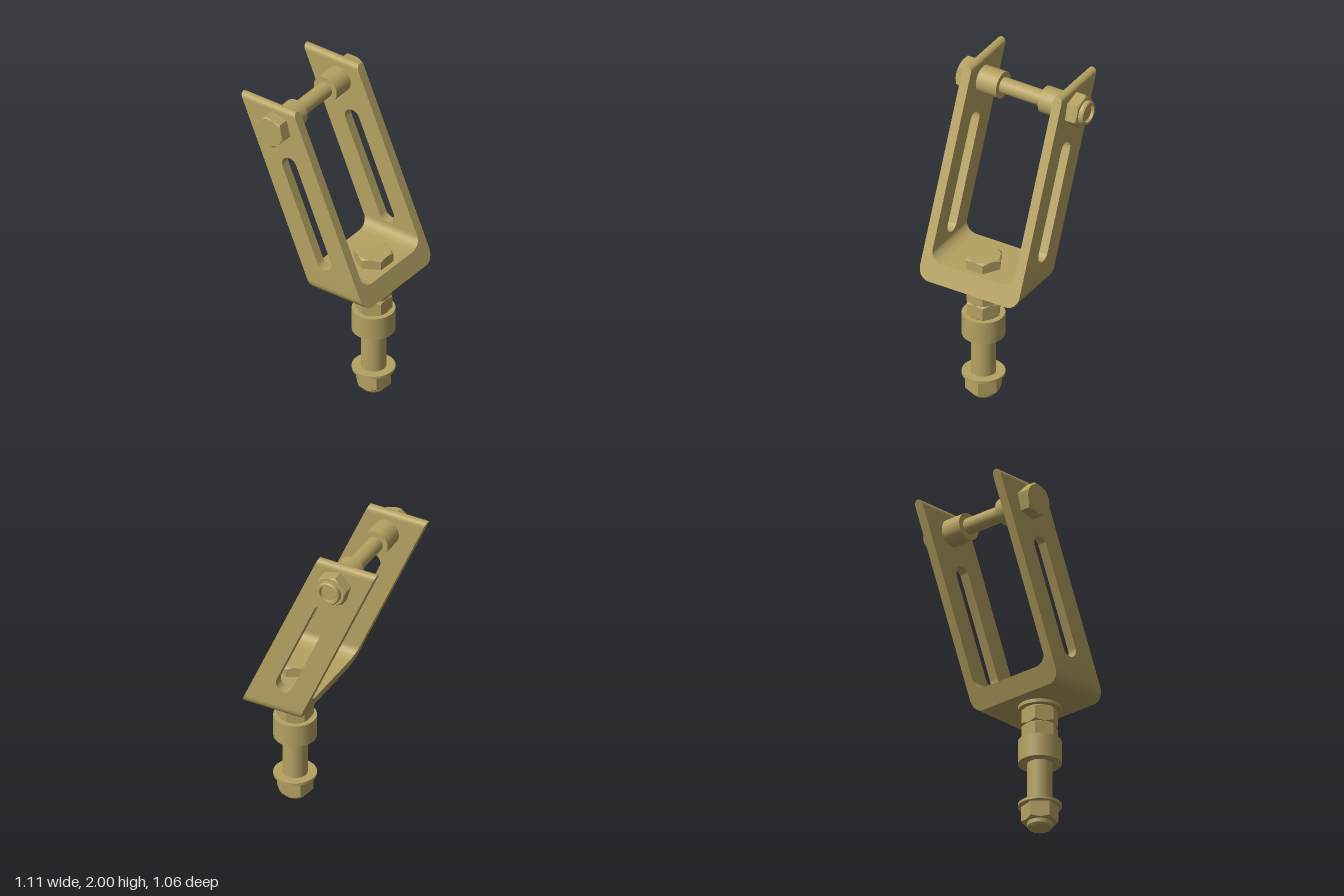
import * as THREE from 'three';
import { toCreasedNormals } from 'three/addons/utils/BufferGeometryUtils.js';

const material = new THREE.MeshStandardMaterial({ color: 0xb5a262 });

// Fork dimensions: local x runs along the axle, the arms lean towards -z
const BASE = 0.79, TOP = 2, FLOOR = 0.905, JOIN = 0.965;
const HALF = 0.345, THICK = 0.06, WIDTH = 0.39, LEAN = 0.43, CENTRE = 0.257;
const leanZ = (y) => CENTRE - LEAN * (y - BASE);

function add(parent, name, geometry) {
  const mesh = new THREE.Mesh(geometry, material);
  mesh.name = name;
  parent.add(mesh);
  return mesh;
}

// Cylinder between two heights
function rod(parent, name, r, y0, y1, rBottom = r) {
  const g = new THREE.CylinderGeometry(r, rBottom, y1 - y0, 40);
  return add(parent, name, g.translate(0, (y0 + y1) / 2, 0));
}

// Hexagonal nut or bolt head whose corners are cut by a cone at the chosen ends
function hex(parent, name, r, y0, y1, turn = 0, bevelLow = true, bevelHigh = true) {
  const h = y1 - y0, flat = r * Math.cos(Math.PI / 6);
  const g = new THREE.CylinderGeometry(1, 1, h, 48, 3);
  const p = g.attributes.position;
  for (let i = 0; i < p.count; i++) {
    const x = p.getX(i), y = p.getY(i), z = p.getZ(i);
    if (Math.hypot(x, z) < 0.5) continue;
    const a = Math.atan2(z, x), sector = Math.PI / 3;
    const off = a - Math.round(a / sector) * sector;
    const hexR = flat / Math.cos(off);
    const isEnd = Math.abs(y) > h * 0.4;
    const bevel = y > 0 ? bevelHigh : bevelLow;
    const radius = isEnd && bevel ? flat : hexR;
    const drop = bevel ? (hexR - flat) * 0.6 + 0.002 : 0.002;
    p.setXYZ(i, Math.cos(a) * radius, Math.sign(y) * (isEnd ? h / 2 : h / 2 - drop), Math.sin(a) * radius);
  }
  g.rotateY(turn).translate(0, (y0 + y1) / 2, 0);
  return add(parent, name, toCreasedNormals(g, 0.3));
}

// Extrude an (x, y) profile across the fork and shear it along the lean
function leaning(shape) {
  const g = new THREE.ExtrudeGeometry(shape, { depth: WIDTH, bevelEnabled: false, curveSegments: 14 });
  g.translate(0, 0, -WIDTH / 2);
  const shear = new THREE.Matrix4().set(
    1, 0, 0, 0,
    0, 1, 0, 0,
    0, -LEAN, 1, leanZ(0),
    0, 0, 0, 1);
  return toCreasedNormals(g, 0.5).applyMatrix4(shear);
}

// Slanted plate with a long slot
function armGeometry() {
  const y1 = TOP - THICK / 2, w = WIDTH / 2;
  const s = new THREE.Shape([
    new THREE.Vector2(leanZ(JOIN) - w, JOIN),
    new THREE.Vector2(leanZ(JOIN) + w, JOIN),
    new THREE.Vector2(leanZ(y1) + w, y1),
    new THREE.Vector2(leanZ(y1) - w, y1),
  ]);
  const phi = Math.atan2(1, -LEAN), q = Math.PI / 2, slot = new THREE.Path();
  slot.absarc(leanZ(1.62), 1.62, 0.054, phi - q, phi + q);
  slot.absarc(leanZ(1.03), 1.03, 0.054, phi + q, phi + 3 * q);
  slot.closePath();
  s.holes.push(slot);
  const g = new THREE.ExtrudeGeometry(s, { depth: THICK, bevelEnabled: false, curveSegments: 16 });
  return toCreasedNormals(g.rotateY(-Math.PI / 2).translate(THICK / 2, 0, 0), 0.5);
}

export function createModel() {
  const model = new THREE.Group();
  model.name = 'forkBracket';
  const body = new THREE.Group();
  body.name = 'turnedBody';
  body.rotation.y = 0.988;
  model.add(body);

  // Fork floor with rounded corners, up to the start of the arms
  const inX = HALF - THICK, R = 0.075, F = 0.085;
  const u = new THREE.Shape();
  u.moveTo(-HALF, JOIN);
  u.lineTo(-HALF, BASE + R);
  u.absarc(-HALF + R, BASE + R, R, Math.PI, Math.PI * 1.5);
  u.absarc(HALF - R, BASE + R, R, Math.PI * 1.5, Math.PI * 2);
  u.lineTo(HALF, JOIN);
  u.lineTo(inX, JOIN);
  u.absellipse(inX - F, JOIN, F, JOIN - FLOOR, 0, -Math.PI / 2, true);
  u.absellipse(-inX + F, JOIN, F, JOIN - FLOOR, -Math.PI / 2, -Math.PI, true);
  u.closePath();
  add(body, 'forkFloor', leaning(u));

  // Arms with rounded top edges
  for (const side of [-1, 1]) {
    const x = side * (HALF - THICK / 2);
    const label = side > 0 ? 'back' : 'front';
    add(body, label + 'Arm', armGeometry()).position.x = x;
    const cap = new THREE.Shape();
    cap.absarc(x, TOP - THICK / 2, THICK / 2, 0, Math.PI);
    cap.closePath();
    add(body, label + 'ArmTopEdge', leaning(cap));
  }

  // Cross bolt between the arm tops
  const axle = new THREE.Group();
  axle.name = 'crossBolt';
  axle.position.set(0, 1.86, -0.195);
  axle.rotation.z = -Math.PI / 2;
  body.add(axle);
  rod(axle, 'crossRod', 0.05, -0.35, 0.435);
  rod(axle, 'frontSpacer', 0.084, -inX, -0.145);
  rod(axle, 'backSpacer', 0.084, 0.145, inX);
  hex(axle, 'crossBoltHead', 0.106, -0.42, -HALF, 0.25, true, false);
  hex(axle, 'crossBoltNut', 0.106, HALF, 0.42, 0.25, false, true);
  const ring = [[0.052, 0.415], [0.075, 0.415], [0.075, 0.442], [0.068, 0.45], [0.056, 0.45], [0.052, 0.415]];
  const collar = new THREE.LatheGeometry(ring.map(([r, y]) => new THREE.Vector2(r, y)), 40);
  add(axle, 'nutCollar', toCreasedNormals(collar, 0.5));

  // Upright bolt through the floor
  const stem = new THREE.Group();
  stem.name = 'stemBolt';
  stem.position.set(0, 0, 0.265);
  body.add(stem);
  hex(stem, 'stemBoltHead', 0.118, FLOOR, 0.97, 0.5, false, true);
  rod(stem, 'stemRod', 0.075, 0.012, FLOOR);
  rod(stem, 'stemTip', 0.075, 0, 0.012, 0.066);
  rod(stem, 'upperWasher', 0.13, 0.768, BASE);
  hex(stem, 'upperNut', 0.112, 0.665, 0.768, 0.5);
  hex(stem, 'lockNut', 0.112, 0.567, 0.662, 0.5);
  rod(stem, 'stemCollar', 0.13, 0.42, 0.567);
  rod(stem, 'lowerWasher', 0.13, 0.138, 0.156);
  hex(stem, 'lowerNut', 0.112, 0.037, 0.138, 0.25, true, false);

  return model;
}
